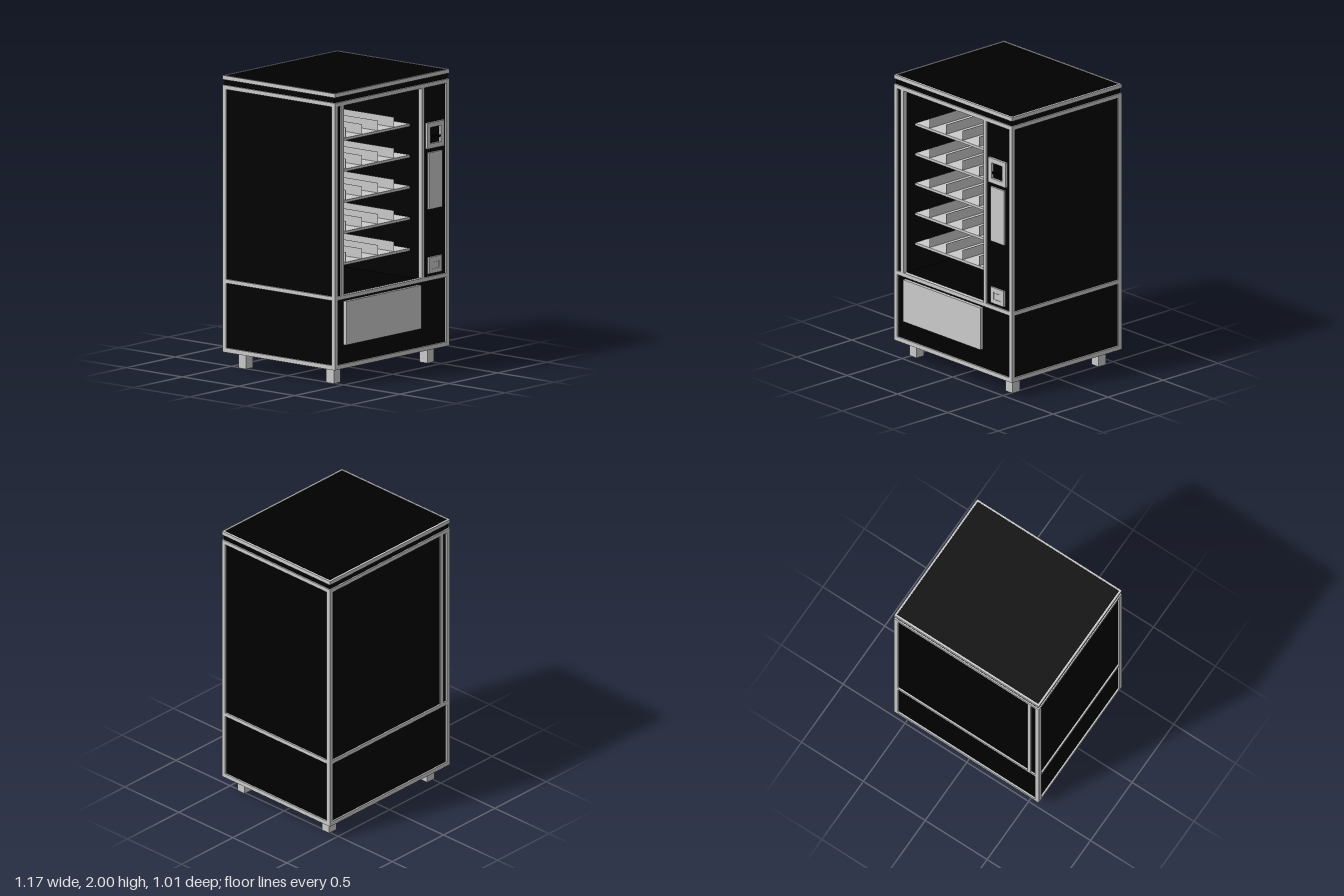
import * as THREE from 'three';

const grey = new THREE.MeshStandardMaterial({ color: 0xcccccc });
const black = new THREE.MeshStandardMaterial({ color: 0x000000 });

// Box given by its minimum and maximum on each axis
function addBox(parent, name, [x0, x1], [y0, y1], [z0, z1], material = grey) {
  const mesh = new THREE.Mesh(new THREE.BoxGeometry(x1 - x0, y1 - y0, z1 - z0), material);
  mesh.position.set((x0 + x1) / 2, (y0 + y1) / 2, (z0 + z1) / 2);
  mesh.name = name;
  parent.add(mesh);
  return mesh;
}

// Flat rectangular frame with a hole, extruded towards +z
function addFrame(parent, name, [x0, x1], [y0, y1], border, z, depth) {
  const rect = (T, a, b, c, d) => new T([[a, c], [b, c], [b, d], [a, d]].map(p => new THREE.Vector2(...p)));
  const shape = rect(THREE.Shape, x0, x1, y0, y1);
  shape.holes.push(rect(THREE.Path, x0 + border, x1 - border, y0 + border, y1 - border));
  const mesh = new THREE.Mesh(new THREE.ExtrudeGeometry(shape, { depth, bevelEnabled: false }), grey);
  mesh.position.z = z;
  mesh.name = name;
  parent.add(mesh);
  return mesh;
}

function addGroup(parent, name) {
  const group = new THREE.Group();
  group.name = name;
  parent.add(group);
  return group;
}

// Horizontal ring of four bars around the cabinet
function addRing(parent, name, y, bar) {
  const ring = addGroup(parent, name);
  addBox(ring, 'frontRail', [-W, W], y, [F - bar, F]);
  addBox(ring, 'backRail', [-W, W], y, [B, B + bar]);
  addBox(ring, 'rightRail', [-W, -W + bar], y, [B + bar, F - bar]);
  addBox(ring, 'leftRail', [W - bar, W], y, [B + bar, F - bar]);
}

const W = 0.585, F = 0.495, B = -0.505; // half width, front, back
const BAR = 0.03, INSET = 0.012;

export function createModel() {
  const model = new THREE.Group();
  model.name = 'vendingMachine';
  const xi = W - INSET, zf = F - INSET, zb = B + INSET;

  // Dark cabinet walls around the open display space
  const cabinet = addGroup(model, 'cabinet');
  addBox(cabinet, 'lowerCabinet', [-xi, xi], [0.122, 0.6], [zb, zf], black);
  addBox(cabinet, 'rightWall', [-xi, -0.505], [0.6, 1.91], [zb, zf], black);
  addBox(cabinet, 'controlColumn', [0.31, xi], [0.6, 1.91], [zb, zf], black);
  addBox(cabinet, 'backWall', [-0.505, 0.31], [0.6, 1.91], [zb, zb + 0.03], black);
  addBox(cabinet, 'ceiling', [-xi, xi], [1.91, 1.93], [zb, zf], black);

  // Grey frame on the cabinet edges
  const frame = addGroup(model, 'frame');
  for (const [x0, x1] of [[-W, -W + BAR], [W - BAR, W]]) {
    addBox(frame, 'frontCornerPost', [x0, x1], [0.11, 1.935], [F - BAR, F]);
    addBox(frame, 'backCornerPost', [x0, x1], [0.11, 1.935], [B, B + BAR]);
  }
  addRing(frame, 'bottomRing', [0.11, 0.14], BAR);
  addRing(frame, 'middleRing', [0.583, 0.61], BAR);
  addRing(frame, 'topRing', [1.907, 1.935], BAR);
  addBox(frame, 'windowPost', [-0.52, -0.492], [0.6, 1.91], [F - BAR, F]);
  addBox(frame, 'windowPost', [0.302, 0.33], [0.6, 1.91], [F - BAR, F]);
  addBox(frame, 'backPost', [-0.52, -0.492], [0.6, 1.91], [B, B + BAR]);

  // Lid: recessed dark neck, grey rim, dark top panel
  const lid = addGroup(model, 'lid');
  addBox(lid, 'neck', [-W + 0.01, W - 0.01], [1.92, 1.98], [B + 0.01, F - 0.01], black);
  addRing(lid, 'lidRim', [1.972, 2], 0.014);
  addBox(lid, 'topPanel', [-W + 0.014, W - 0.014], [1.975, 1.997], [B + 0.014, F - 0.014], black);

  // Shelves with thin upright dividers
  const shelves = addGroup(model, 'shelves');
  for (let i = 0; i < 5; i++) {
    const top = 0.803 + i * 0.2125;
    addBox(shelves, 'shelf', [-0.49, 0.302], [top - 0.018, top], [-0.44, 0.39]);
    for (let j = 0; j < 4; j++) {
      const x = -0.35 + j * 0.164;
      addBox(shelves, 'divider', [x - 0.001, x + 0.001], [top, top + 0.068], [-0.44, 0.388]);
    }
  }

  // Payment controls on the front column
  const controls = addGroup(model, 'controls');
  addFrame(controls, 'displayFrame', [0.354, 0.526], [1.485, 1.662], 0.033, zf, 0.017);
  addBox(controls, 'billSlot', [0.39, 0.49], [1.553, 1.565], [zf, 0.502], black);
  addBox(controls, 'keypadPanel', [0.373, 0.509], [1.07, 1.457], [zf, 0.497]);
  addBox(controls, 'coinReturnPlate', [0.374, 0.506], [0.63, 0.742], [zf, 0.493]);
  addFrame(controls, 'coinReturnRim', [0.374, 0.506], [0.63, 0.742], 0.03, 0.493, 0.004);
  addBox(controls, 'coinReturnFlap', [0.413, 0.467], [0.667, 0.705], [0.49, 0.496]);

  // Delivery door
  addBox(model, 'deliveryDoor', [-0.482, 0.285], [0.27, 0.568], [zf, 0.507]);

  // Feet
  for (const x of [-0.477, 0.477]) {
    for (const z of [-0.394, 0.388]) {
      addBox(model, 'foot', [x - 0.035, x + 0.035], [0, 0.13], [z - 0.034, z + 0.034]);
    }
  }
  return model;
}
